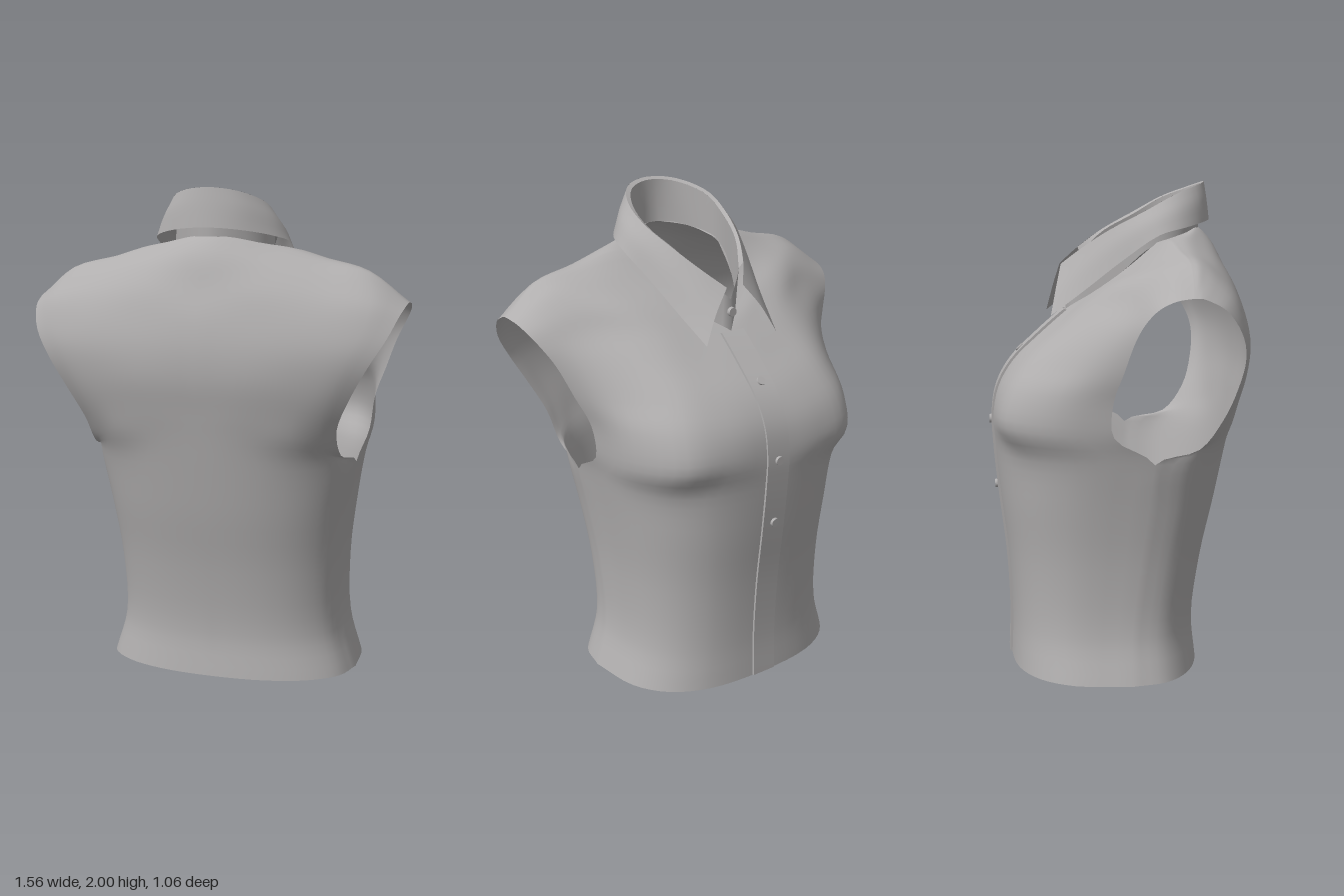
import * as THREE from 'three';
import { mergeGeometries, mergeVertices, toCreasedNormals } from 'three/addons/utils/BufferGeometryUtils.js';

const V = (x, y, z) => new THREE.Vector3(x, y, z);
const toRows = (table) => table.map((r) => r.map((p) => V(...p)));
const mirrored = (p) => V(-p.x, p.y, p.z);
const STEP = 4; // fine rows between two control rows

// Smooth grid of points through the control rows of the +x half.
function surface(ctrl, cols = 16) {
  const across = ctrl.map((row) => {
    const centred = row[0].x === 0;
    const full = centred ? [...row.slice(1).reverse().map(mirrored), ...row] : row;
    const curve = new THREE.CatmullRomCurve3(full);
    return Array.from({ length: cols + 1 }, (_, j) => curve.getPoint(centred ? 0.5 + j / cols / 2 : j / cols));
  });
  const n = (ctrl.length - 1) * STEP;
  const columns = across[0].map((_, j) => new THREE.CatmullRomCurve3(across.map((r) => r[j])));
  return Array.from({ length: n + 1 }, (_, i) => columns.map((c) => {
    const p = c.getPoint(i / n);
    p.x = Math.max(0, p.x);
    return p;
  }));
}

function gridGeometry(rows, flip) {
  const w = rows[0].length, index = [];
  for (let i = 0; i < rows.length - 1; i++) {
    for (let j = 0; j < w - 1; j++) {
      const a = i * w + j, b = a + 1, c = b + w, d = a + w;
      index.push(...(flip ? [a, c, b, a, d, c] : [a, b, c, a, c, d]));
    }
  }
  const g = new THREE.BufferGeometry().setFromPoints(rows.flat());
  g.setIndex(index);
  return g;
}

// Both halves of each panel, welded into one smooth skin.
function skin(panels) {
  const parts = panels.flatMap(([rows, flip]) => [
    gridGeometry(rows, flip),
    gridGeometry(rows.map((r) => r.map(mirrored)), !flip),
  ]);
  const g = mergeVertices(mergeGeometries(parts), 1e-4);
  g.computeVertexNormals();
  return g;
}

// Waist sections: height, half width, front z, back z, side seam z
const waist = [
  [0, 0.54, -0.45, 0.335, 0.02],
  [0.18, 0.487, -0.445, 0.32, 0.02],
  [0.45, 0.485, -0.46, 0.355, 0.05],
  [0.7, 0.515, -0.49, 0.41, 0.08],
  [0.9, 0.55, -0.51, 0.45, 0.1],
];
const waistRows = (zIndex, power) => waist.map((s) => [0, 1, 2, 3, 4].map((j) => {
  const a = (j * Math.PI) / 8, e = 2 / power;
  const c = j === 4 ? 0 : Math.cos(a) ** e;
  return V(s[1] * Math.sin(a) ** e, s[0], s[4] + (s[zIndex] - s[4]) * c);
}));

// Chest rows, from centre or neckline out to the armhole
const chest = [
  [[0, 1.03, -0.515], [0.22, 1.03, -0.515], [0.41, 1.03, -0.47], [0.53, 1.02, -0.29], [0.565, 1.01, -0.06]],
  [[0, 1.15, -0.495], [0.22, 1.16, -0.49], [0.4, 1.17, -0.44], [0.53, 1.17, -0.27], [0.585, 1.15, -0.065]],
  [[0, 1.26, -0.435], [0.2, 1.28, -0.41], [0.37, 1.29, -0.36], [0.52, 1.28, -0.21], [0.635, 1.27, -0.03]],
  [[0, 1.37, -0.325], [0.18, 1.39, -0.29], [0.35, 1.42, -0.23], [0.53, 1.43, -0.1], [0.69, 1.4, 0.01]],
  [[0, 1.47, -0.21], [0.15, 1.48, -0.19], [0.33, 1.51, -0.14], [0.53, 1.52, -0.02], [0.73, 1.47, 0.045]],
  [[0.1, 1.54, -0.11], [0.23, 1.57, -0.08], [0.4, 1.6, -0.02], [0.58, 1.595, 0.06], [0.76, 1.52, 0.09]],
  [[0.17, 1.63, 0.01], [0.29, 1.65, 0.05], [0.45, 1.66, 0.09], [0.61, 1.65, 0.14], [0.775, 1.55, 0.15]],
  [[0.2, 1.75, 0.15], [0.31, 1.76, 0.18], [0.45, 1.725, 0.2], [0.62, 1.68, 0.22], [0.78, 1.56, 0.21]],
];
const shoulderBlades = [
  [[0, 1.03, 0.475], [0.2, 1.03, 0.465], [0.37, 1.02, 0.43], [0.47, 0.99, 0.36], [0.53, 0.955, 0.28]],
  [[0, 1.13, 0.495], [0.2, 1.13, 0.49], [0.38, 1.12, 0.46], [0.48, 1.1, 0.42], [0.535, 1.07, 0.37]],
  [[0, 1.26, 0.52], [0.22, 1.26, 0.515], [0.42, 1.25, 0.485], [0.53, 1.23, 0.455], [0.595, 1.2, 0.415]],
  [[0, 1.38, 0.522], [0.22, 1.38, 0.515], [0.44, 1.37, 0.49], [0.59, 1.36, 0.46], [0.67, 1.33, 0.43]],
  [[0, 1.5, 0.5], [0.22, 1.5, 0.49], [0.46, 1.48, 0.465], [0.64, 1.46, 0.43], [0.73, 1.43, 0.4]],
  [[0, 1.62, 0.455], [0.22, 1.61, 0.45], [0.46, 1.58, 0.42], [0.66, 1.55, 0.385], [0.765, 1.515, 0.335]],
  [[0, 1.74, 0.41], [0.24, 1.7, 0.385], [0.46, 1.655, 0.355], [0.65, 1.62, 0.32], [0.777, 1.55, 0.27]],
  [[0, 1.81, 0.35], [0.23, 1.755, 0.32], [0.44, 1.7, 0.3], [0.63, 1.66, 0.28], [0.78, 1.56, 0.24]],
  [[0.14, 1.79, 0.28], [0.28, 1.77, 0.255], [0.45, 1.72, 0.25], [0.63, 1.675, 0.25], [0.78, 1.56, 0.225]],
];

// Collar lines, from the centre back round to the front
const [fold, leafEdge, neckline, bandTop] = toRows([
  [[0, 2, 0.37], [0.12, 1.985, 0.335], [0.2, 1.94, 0.22], [0.205, 1.875, 0.1], [0.165, 1.8, -0.04], [0.105, 1.725, -0.15], [0.04, 1.66, -0.23]],
  [[0, 1.845, 0.392], [0.14, 1.835, 0.358], [0.25, 1.81, 0.26], [0.285, 1.78, 0.15], [0.25, 1.675, 0], [0.21, 1.555, -0.15], [0.175, 1.455, -0.28]],
  [[0, 1.81, 0.35], [0.14, 1.79, 0.28], [0.19, 1.765, 0.21], [0.2, 1.72, 0.11], [0.17, 1.63, 0.01], [0.1, 1.54, -0.11], [0, 1.47, -0.21]],
  [[0, 1.99, 0.355], [0.11, 1.975, 0.32], [0.185, 1.93, 0.21], [0.19, 1.865, 0.1], [0.15, 1.79, -0.04], [0.09, 1.7, -0.14], [0, 1.6, -0.205]],
]);

export function createModel() {
  const group = new THREE.Group();
  const cloth = new THREE.MeshStandardMaterial({ color: 0xb0aeae, side: THREE.DoubleSide });
  cloth.name = 'grey cloth';
  const add = (name, geometry) => {
    const mesh = new THREE.Mesh(geometry, cloth);
    mesh.name = name;
    group.add(mesh);
    return mesh;
  };

  // Body: chest and back panels joined at side and shoulder seams
  const chestRows = toRows(chest);
  const front = surface([...waistRows(2, 2.7), ...chestRows]);
  const back = surface([...waistRows(3, 2.3), ...toRows(shoulderBlades), chestRows.at(-1)]);
  for (let i = 0; i <= (waist.length - 1) * STEP; i++) {
    const f = front[i].at(-1), b = back[i].at(-1);
    f.lerp(b, 0.5);
    b.copy(f);
  }
  add('shirtBody', skin([[front, true], [back, false]]));

  // Button placket: raised strip down the centre
  const strip = front.slice(0, 9 * STEP + 1).map(([p]) => [[-0.055, 0], [-0.055, 1], [0.055, 1], [0.055, 0]]
    .map(([x, out]) => V(x, p.y + 0.004 * out, p.z + 0.004 - 0.013 * out)));
  add('placket', toCreasedNormals(gridGeometry(strip, true), 0.7));

  // Collar: inner band and folded leaf with pointed tips
  const bulge = fold.map((p, i) => p.clone().lerp(leafEdge[i], 0.5).add(V(i ? 0.006 : 0, 0.008, 0)));
  add('collarBand', skin([[surface([neckline, bandTop], 24), false]]));
  add('collarLeaf', skin([[surface([fold, bulge, leafEdge], 24), true]]));
  // Rolled edge closing the gap between band and leaf
  add('collarFold', skin([[surface([bandTop.slice(0, 6), fold.slice(0, 6)], 24), true]]));

  // Buttons: height, z, upward tilt
  for (const [y, z, tilt] of [[1.55, -0.214, 0], [1.31, -0.402, 0.75], [1.01, -0.527, 0], [0.73, -0.506, -0.1]]) {
    const button = add('button', new THREE.CylinderGeometry(0.018, 0.02, 0.014, 12));
    button.position.set(0, y, z);
    button.rotation.x = tilt - Math.PI / 2;
  }
  return group;
}
